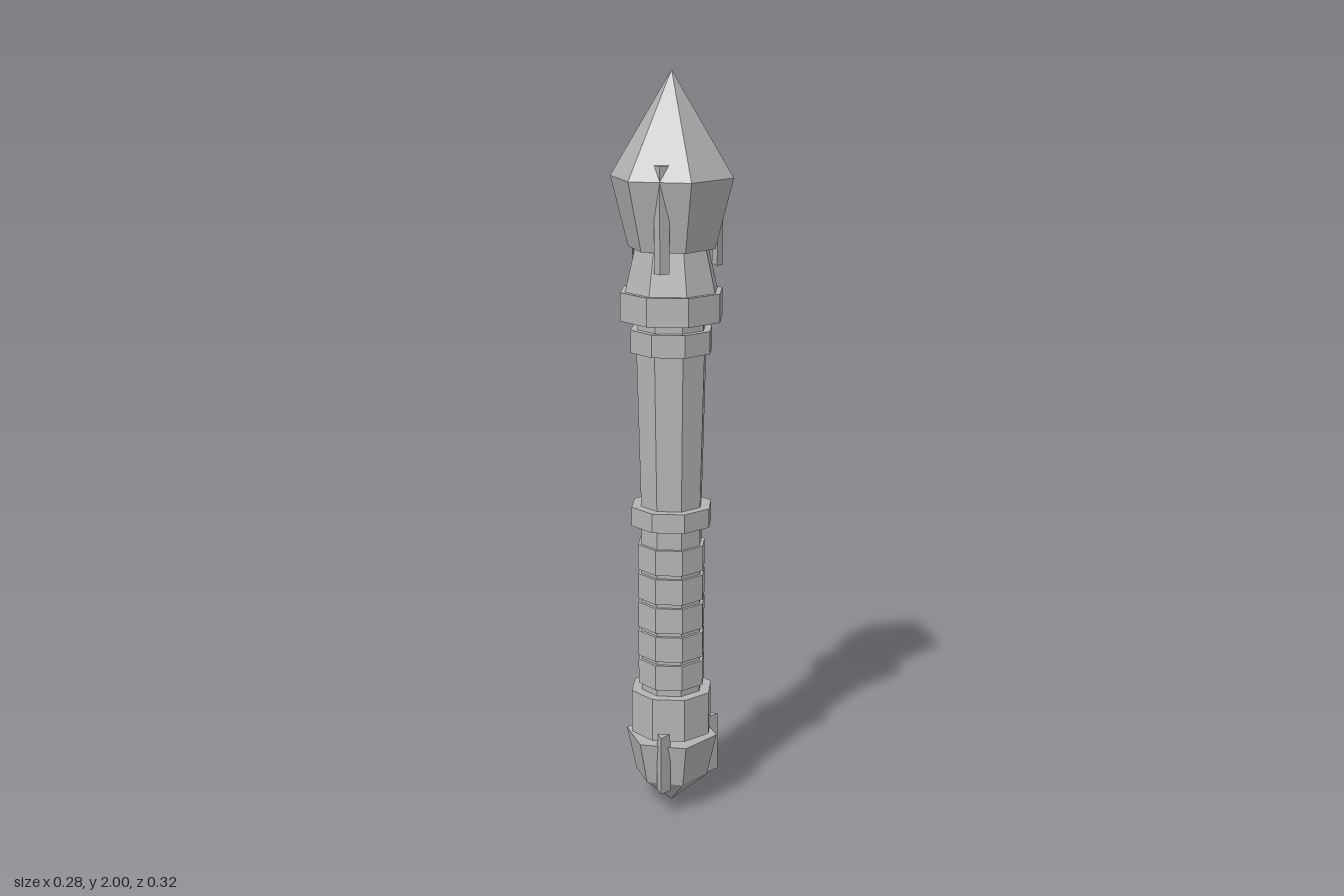
import * as THREE from 'three';

export function createModel() {
  const model = new THREE.Group();
  const grey = new THREE.MeshStandardMaterial({ color: 0xb4b4b4 });

  const add = (name, geometry) => {
    let g = geometry.index ? geometry.toNonIndexed() : geometry;
    g.computeVertexNormals(); // faceted look
    const mesh = new THREE.Mesh(g, grey);
    mesh.name = name;
    model.add(mesh);
    return mesh;
  };

  // Faceted drum between two heights, with a corner facing the front
  const drum = (name, y0, y1, r0, r1 = r0, sides = 8) => {
    const g = new THREE.CylinderGeometry(r1, r0, y1 - y0, sides);
    g.translate(0, (y0 + y1) / 2, 0);
    return add(name, g);
  };

  // Three upright triangular prisms, edge outward, around the axis
  const prongs = (name, y0, y1, inner, outer, half) => {
    const shape = new THREE.Shape([
      new THREE.Vector2(inner, -half),
      new THREE.Vector2(outer, 0),
      new THREE.Vector2(inner, half),
    ]);
    for (let i = 0; i < 3; i++) {
      const g = new THREE.ExtrudeGeometry(shape, { depth: y1 - y0, bevelEnabled: false });
      g.rotateX(-Math.PI / 2);
      g.translate(0, y0, 0);
      g.rotateY((i * Math.PI * 2) / 3);
      add(name + (i + 1), g);
    }
  };

  // Pommel: six-sided pointed stone, held by prongs below the end cap
  drum('pommelPoint', 0, 0.085, 0, 0.1, 6);
  drum('pommelStone', 0.085, 0.205, 0.1, 0.127, 6);
  prongs('pommelProng', 0.075, 0.24, 0.1, 0.135, 0.019);
  drum('endCap', 0.22, 0.34, 0.114);

  // Grip: core with five wrapped bands
  drum('gripCore', 0.34, 0.81, 0.085);
  for (let i = 0; i < 5; i++) {
    const y = 0.36 + i * 0.0815;
    drum('gripBand' + (i + 1), y, y + 0.07, 0.094);
  }

  // Shaft and its rings
  drum('middleRing', 0.81, 0.862, 0.112);
  drum('shaft', 0.862, 1.28, 0.085, 0.096);
  drum('upperRing', 1.28, 1.34, 0.112);
  drum('neck', 1.34, 1.365, 0.093);
  drum('headRing', 1.365, 1.44, 0.14);
  drum('headCollar', 1.44, 1.55, 0.126, 0.1);

  // Head: six-sided crystal gripped by prongs
  drum('crystalBase', 1.55, 1.732, 0.115, 0.162, 6);
  drum('crystalPoint', 1.732, 2, 0.162, 0, 6);
  prongs('headProng', 1.5, 1.772, 0.118, 0.14, 0.02);

  return model;
}
